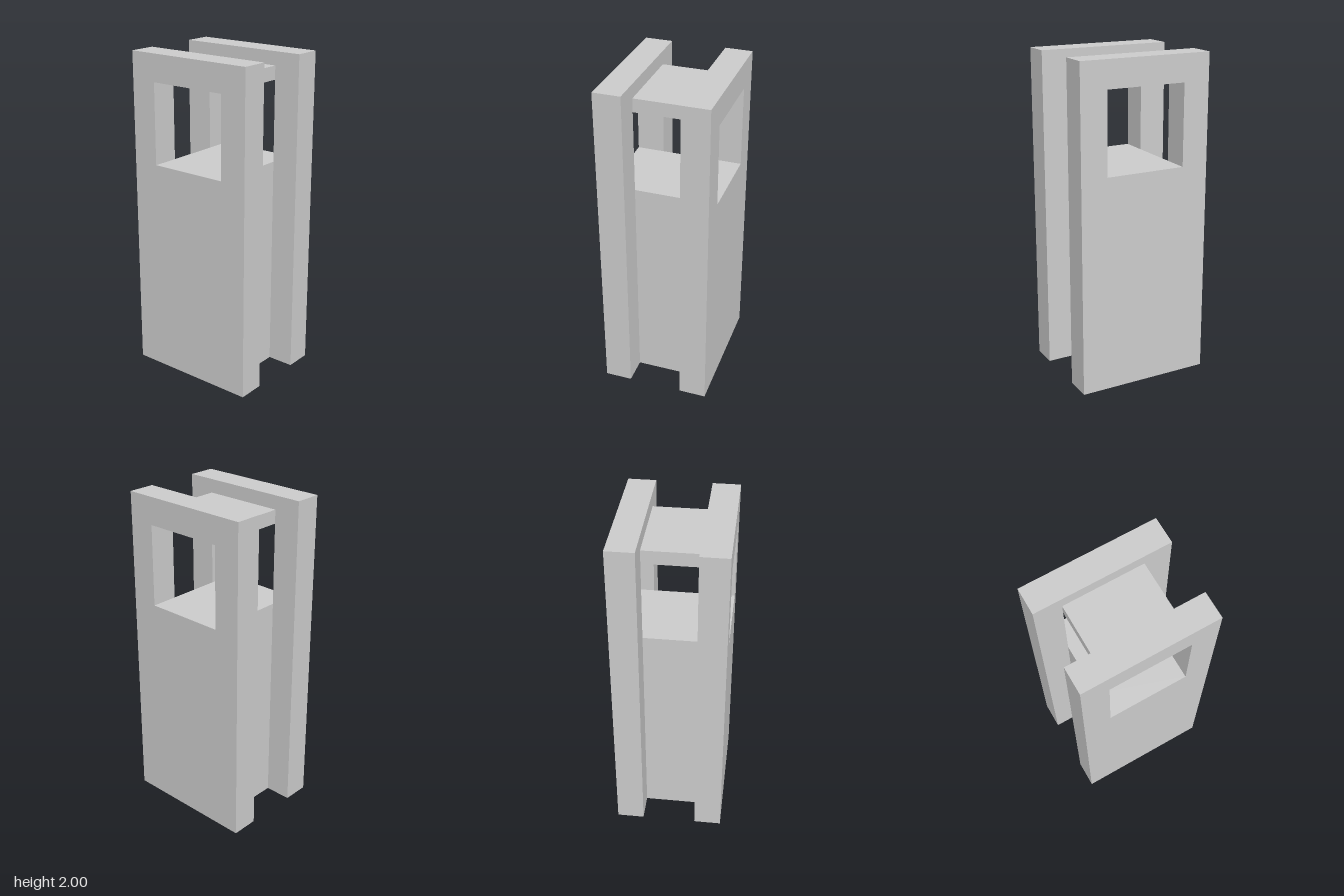
import * as THREE from 'three';

const U = 1 / 12; // the whole model sits on a grid of twelfths

export function createModel() {
  const group = new THREE.Group();
  const material = new THREE.MeshStandardMaterial({ color: 0xcccccc, flatShading: true });

  const add = (name, geometry, x, y) => {
    const mesh = new THREE.Mesh(geometry, material);
    mesh.name = name;
    mesh.position.set(x, y, 0);
    group.add(mesh);
  };

  const rectangle = (PathType, halfWidth, bottom, top) =>
    new PathType([
      new THREE.Vector2(-halfWidth, bottom),
      new THREE.Vector2(halfWidth, bottom),
      new THREE.Vector2(halfWidth, top),
      new THREE.Vector2(-halfWidth, top),
    ]);

  // Side slabs, each with a square window near the top
  const outline = rectangle(THREE.Shape, 5 * U, 0, 24 * U);
  outline.holes.push(rectangle(THREE.Path, 3 * U, 16 * U, 22 * U));
  const slab = new THREE.ExtrudeGeometry(outline, { depth: 2 * U, bevelEnabled: false });
  slab.translate(0, 0, -U).rotateY(Math.PI / 2);
  add('leftSlab', slab, 3 * U, 0);
  add('rightSlab', slab, -3 * U, 0);

  // Solid core between the slabs, up to the window sill
  add('core', new THREE.BoxGeometry(4 * U, 16 * U, 6 * U), 0, 8 * U);

  // Thin lintel bridging the slabs above the windows
  add('lintel', new THREE.BoxGeometry(4 * U, U, 6 * U), 0, 22.5 * U);

  return group;
}
